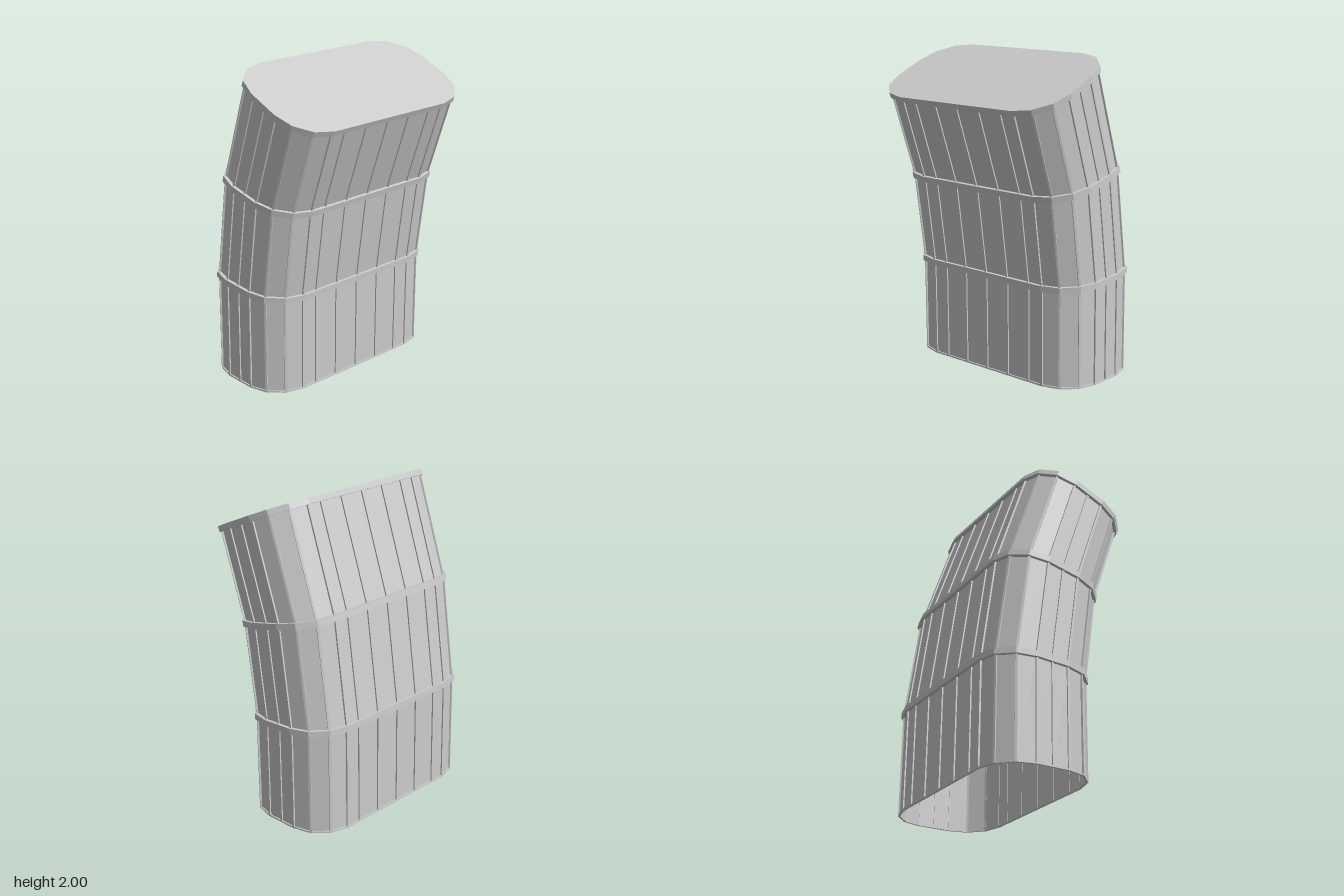
import * as THREE from 'three';

const material = new THREE.MeshStandardMaterial({ color: 0xcccccc, flatShading: true, side: THREE.DoubleSide });

// Stations along the bend: centre and sideways tilt in degrees
const stations = [
  { x: -0.14, y: 0, tilt: 0 },
  { x: -0.133, y: 0.645, tilt: 3.5 },
  { x: -0.045, y: 1.26, tilt: 12.5 },
  { x: 0.155, y: 1.845, tilt: 23 },
];

// Rounded-rectangle outline; every point keeps its outward normal
function makeOutline() {
  const points = [], cu = 0.105, cv = 0.45, r = 0.25;
  for (let q = 0; q < 4; q++) {
    const su = q === 0 || q === 3 ? 1 : -1, sv = q < 2 ? 1 : -1;
    for (let i = 0; i < 4; i++) {
      const a = (q + i / 3) * Math.PI / 2;
      const nu = Math.cos(a), nv = Math.sin(a);
      points.push({ u: su * cu + r * nu, v: sv * cv + r * nv, nu, nv });
    }
    if (q % 2 === 0) {
      points.push({ u: 0, v: sv * (cv + r), nu: 0, nv: sv });
    } else {
      const s = q === 1 ? -1 : 1;
      for (const v of [-0.345, -0.175, 0, 0.175, 0.345]) points.push({ u: s * (cu + r), v: s * v, nu: s, nv: 0 });
    }
  }
  return points;
}
const outline = makeOutline();
const inset = (d) => outline.map((p) => [p.u - p.nu * d, p.v - p.nv * d]);

// Places a flat ring in a station's tilted plane, h above its centre
function place(ring, station, h = 0) {
  const a = THREE.MathUtils.degToRad(station.tilt), c = Math.cos(a), s = Math.sin(a);
  return ring.map(([u, v]) => [station.x + u * c + h * s, station.y - u * s + h * c, v]);
}

// Skins a list of closed loops, optionally closing both ends
function skin(name, loops, capped = false) {
  const n = loops[0].length, index = [];
  for (let k = 0; k < loops.length - 1; k++) {
    for (let i = 0; i < n; i++) {
      const j = (i + 1) % n, b = k * n, t = b + n;
      index.push(b + i, t + i, b + j, b + j, t + i, t + j);
    }
  }
  if (capped) {
    const t = (loops.length - 1) * n;
    for (let i = 1; i < n - 1; i++) index.push(0, i, i + 1, t, t + i + 1, t + i);
  }
  const geometry = new THREE.BufferGeometry();
  geometry.setAttribute('position', new THREE.Float32BufferAttribute(loops.flat(2), 3));
  geometry.setIndex(index);
  geometry.computeVertexNormals();
  const mesh = new THREE.Mesh(geometry, material);
  mesh.name = name;
  return mesh;
}

// Hollow hoop around a station
function hoop(name, station, inner, outer, h0, h1) {
  const a = inset(inner), b = inset(outer);
  return skin(name, [place(a, station, h0), place(b, station, h0), place(b, station, h1), place(a, station, h1), place(a, station, h0)]);
}

export function createModel() {
  const group = new THREE.Group();
  group.name = 'bentDuct';

  // Three wall sections with thin ribs
  for (let k = 0; k < 3; k++) {
    const section = new THREE.Group();
    section.name = 'section' + (k + 1);
    const lower = stations[k], upper = stations[k + 1], wall = inset(0.021);
    section.add(skin('wall', [place(wall, lower), place(wall, upper)]));
    for (const p of outline) {
      const corner = (along, depth) => [p.u - p.nv * along - p.nu * depth, p.v + p.nu * along - p.nv * depth];
      const w = 0.007;
      const ring = [corner(-w, 0.012), corner(w, 0.012), corner(w, 0.024), corner(-w, 0.024)];
      section.add(skin('rib', [place(ring, lower), place(ring, upper)], true));
    }
    group.add(section);
  }

  // Base rim and joint bands
  group.add(hoop('baseRim', stations[0], 0.024, 0.012, 0, 0.01));
  group.add(hoop('lowerBand', stations[1], 0.024, 0, -0.019, 0.019));
  group.add(hoop('upperBand', stations[2], 0.024, 0, -0.019, 0.019));

  // Solid lid
  const lid = inset(0);
  group.add(skin('lid', [place(lid, stations[3], -0.018), place(lid, stations[3], 0.018)], true));

  return group;
}
